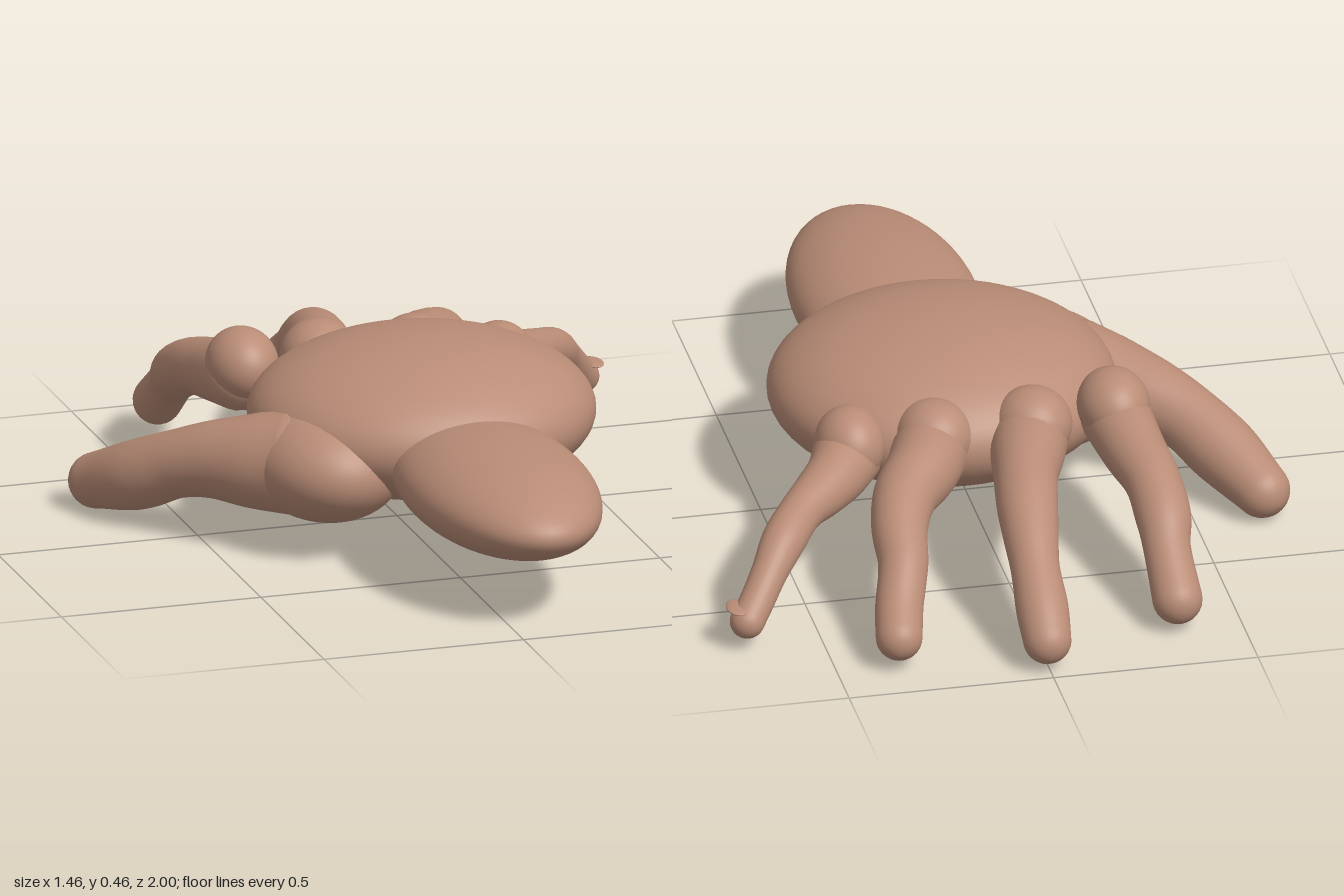
import * as THREE from 'three';

const SIDES = 28, STEPS = 48, CAP = 8;

// Round-ended limb lofted through [x, y, z, radius] stations
function limbGeometry(stations) {
  const path = new THREE.CatmullRomCurve3(stations.map(s => new THREE.Vector3(s[0], s[1], s[2])), false, 'catmullrom');
  const radii = new THREE.CatmullRomCurve3(stations.map(s => new THREE.Vector3(s[3], 0, 0)), false, 'catmullrom');
  const up = new THREE.Vector3(0, 1, 0);
  const positions = [], indices = [];

  // t places the ring on the path; lift and spread shape the round ends
  const ring = (t, lift, spread) => {
    const r = radii.getPoint(t).x;
    const tangent = path.getTangent(t).normalize();
    const side = tangent.clone().cross(up).normalize();
    const normal = side.clone().cross(tangent);
    const centre = path.getPoint(t).addScaledVector(tangent, lift * r);
    for (let j = 0; j < SIDES; j++) {
      const a = j / SIDES * Math.PI * 2;
      const p = centre.clone()
        .addScaledVector(side, Math.cos(a) * r * spread)
        .addScaledVector(normal, Math.sin(a) * r * spread);
      positions.push(p.x, p.y, p.z);
    }
  };
  for (let i = 0; i < CAP; i++) {
    const a = i / CAP * Math.PI / 2;
    ring(0, -Math.cos(a), Math.max(Math.sin(a), 0.002));
  }
  for (let i = 0; i <= STEPS; i++) ring(i / STEPS, 0, 1);
  for (let i = 1; i <= CAP; i++) {
    const a = i / CAP * Math.PI / 2;
    ring(1, Math.sin(a), Math.max(Math.cos(a), 0.002));
  }

  const rings = positions.length / 3 / SIDES;
  for (let i = 0; i < rings - 1; i++) {
    for (let j = 0; j < SIDES; j++) {
      const k = (j + 1) % SIDES;
      const a = i * SIDES + j, b = a + SIDES, c = i * SIDES + k, d = c + SIDES;
      indices.push(a, b, c, b, d, c);
    }
  }
  const geometry = new THREE.BufferGeometry();
  geometry.setAttribute('position', new THREE.Float32BufferAttribute(positions, 3));
  geometry.setIndex(indices);
  geometry.computeVertexNormals();
  return geometry;
}

export function createModel() {
  const hand = new THREE.Group();
  hand.name = 'hand';
  const skin = new THREE.MeshStandardMaterial({ color: 0xb98c76 });
  skin.name = 'skin';

  const ball = new THREE.SphereGeometry(1, 56, 36);
  const ellipsoid = (name, centre, radii) => {
    const mesh = new THREE.Mesh(ball, skin);
    mesh.name = name;
    mesh.position.set(...centre);
    mesh.scale.set(...radii);
    hand.add(mesh);
    return mesh;
  };
  const limb = (name, stations) => {
    const mesh = new THREE.Mesh(limbGeometry(stations), skin);
    mesh.name = name;
    hand.add(mesh);
  };

  // Main masses
  ellipsoid('wrist', [0.075, 0.237, 0.55], [0.225, 0.122, 0.45]);
  ellipsoid('palm', [0.05, 0.274, 0.035], [0.42, 0.188, 0.4]);
  ellipsoid('thumbMound', [-0.225, 0.21, 0.13], [0.19, 0.145, 0.25]);

  // Knuckles
  ellipsoid('indexKnuckle', [-0.305, 0.33, -0.265], [0.087, 0.09, 0.105]);
  ellipsoid('middleKnuckle', [-0.1, 0.32, -0.3], [0.095, 0.09, 0.1]);
  ellipsoid('ringKnuckle', [0.14, 0.31, -0.295], [0.095, 0.09, 0.1]);
  ellipsoid('littleKnuckle', [0.335, 0.285, -0.245], [0.085, 0.092, 0.1]);

  // Thumb and fingers, from the base out to the tip
  limb('thumb', [
    [-0.3, 0.21, 0.14, 0.13], [-0.38, 0.2, 0.08, 0.115], [-0.46, 0.19, 0.01, 0.095],
    [-0.53, 0.165, -0.06, 0.083], [-0.6, 0.115, -0.155, 0.085], [-0.665, 0.068, -0.28, 0.068]]);
  limb('indexFinger', [
    [-0.31, 0.3, -0.27, 0.085], [-0.325, 0.275, -0.4, 0.077], [-0.345, 0.25, -0.52, 0.068],
    [-0.35, 0.205, -0.62, 0.067], [-0.343, 0.155, -0.7, 0.057], [-0.345, 0.075, -0.805, 0.06]]);
  limb('middleFinger', [
    [-0.1, 0.29, -0.28, 0.095], [-0.065, 0.285, -0.4, 0.088], [-0.04, 0.282, -0.5, 0.077],
    [-0.022, 0.262, -0.6, 0.074], [-0.01, 0.222, -0.7, 0.066], [-0.003, 0.18, -0.78, 0.059],
    [0, 0.122, -0.87, 0.063], [0.003, 0.073, -0.942, 0.058]]);
  limb('ringFinger', [
    [0.14, 0.28, -0.28, 0.095], [0.19, 0.28, -0.4, 0.088], [0.255, 0.263, -0.5, 0.077],
    [0.29, 0.232, -0.6, 0.068], [0.303, 0.185, -0.7, 0.06], [0.332, 0.12, -0.79, 0.058],
    [0.348, 0.077, -0.862, 0.056]]);
  limb('littleFinger', [
    [0.33, 0.265, -0.23, 0.09], [0.38, 0.25, -0.32, 0.075], [0.435, 0.238, -0.385, 0.065],
    [0.5, 0.225, -0.455, 0.053], [0.56, 0.195, -0.535, 0.053], [0.61, 0.15, -0.605, 0.044],
    [0.65, 0.105, -0.655, 0.042], [0.682, 0.07, -0.69, 0.042]]);

  // Small flap at the end of the little finger
  ellipsoid('littleFingerNail', [0.705, 0.104, -0.68], [0.026, 0.007, 0.042]);

  return hand;
}
